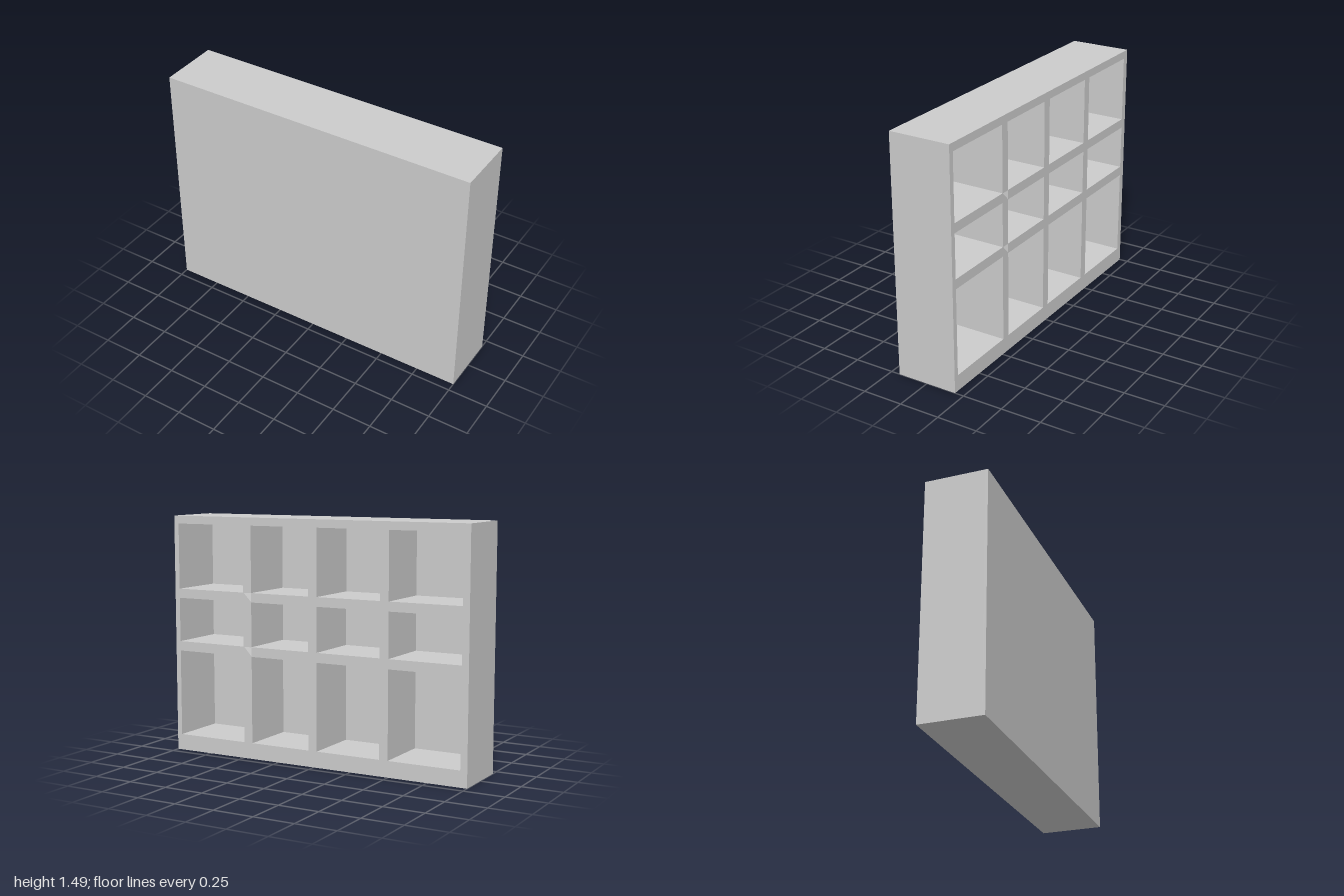
import * as THREE from 'three';

const W = 2, H = 1.49, D = 0.386, PANEL = 0.018;

// Compartment limits: columns along x, rows along y
const columns = [[0.492, 0.968], [0.035, 0.435], [-0.443, -0.023], [-0.957, -0.499]];
const rows = [[0.10, 0.64], [0.70, 0.975], [1.033, 1.441]];

function outline(points) {
  return new THREE.Path(points.map(([x, y]) => new THREE.Vector2(x, y)));
}

export function createModel() {
  const group = new THREE.Group();
  const material = new THREE.MeshStandardMaterial({ color: 0xcccccc, flatShading: true });

  // Frame, dividers and shelves as one slab pierced by the compartments
  const shape = new THREE.Shape();
  shape.moveTo(-W / 2, 0).lineTo(W / 2, 0).lineTo(W / 2, H).lineTo(-W / 2, H).closePath();
  for (const [x0, x1] of columns) {
    for (const [y0, y1] of rows) {
      shape.holes.push(outline([[x0, y0], [x0, y1], [x1, y1], [x1, y0]]));
    }
  }

  // Small triangular notches where the first divider crosses the shelves
  const left = columns[0][0] - 0.003, right = columns[1][1] + 0.001;
  for (let i = 0; i < rows.length - 1; i++) {
    const low = rows[i][1] + 0.003, high = rows[i + 1][0] - 0.001;
    shape.holes.push(outline([[left, high], [right, high], [right, low]]));
  }

  const shelving = new THREE.Mesh(
    new THREE.ExtrudeGeometry(shape, { depth: D - PANEL, bevelEnabled: false }), material);
  shelving.name = 'shelvingGrid';
  shelving.position.z = -D / 2;
  group.add(shelving);

  // Thin panel closing the front
  const panel = new THREE.Mesh(new THREE.BoxGeometry(W, H, PANEL), material);
  panel.name = 'frontPanel';
  panel.position.set(0, H / 2, D / 2 - PANEL / 2);
  group.add(panel);

  return group;
}
